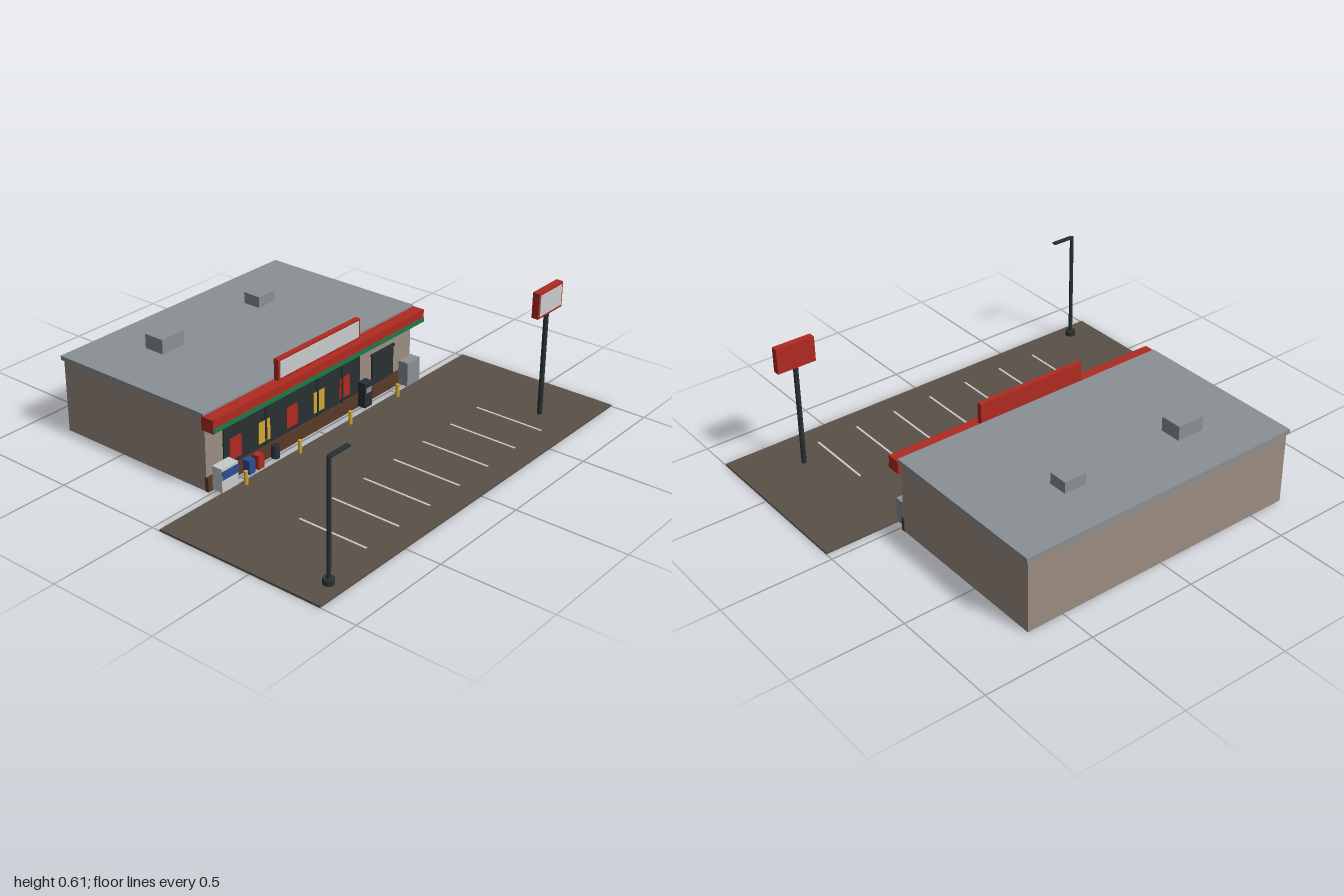
import * as THREE from 'three';

function mat(name, color) {
  const m = new THREE.MeshStandardMaterial({ color });
  m.name = name;
  return m;
}

export function createModel() {
  const root = new THREE.Group();
  root.name = 'cornerStore';

  const wall = mat('tan wall', 0x9c8d81);
  const grey = mat('roof grey', 0x8a9094);
  const red = mat('red', 0xb02a20);
  const green = mat('green', 0x1c7a45);
  const asphalt = mat('asphalt', 0x5a5048);
  const brown = mat('brown brick', 0x5a3a2a);
  const yellow = mat('yellow', 0xd2a62e);
  const dark = mat('dark glass and metal', 0x293132);
  const white = mat('off white', 0xc8cbcc);
  const blue = mat('blue', 0x2a4c98);

  // box from its min and max corners
  function box(name, m, x0, x1, y0, y1, z0, z1) {
    const mesh = new THREE.Mesh(new THREE.BoxGeometry(x1 - x0, y1 - y0, z1 - z0), m);
    mesh.position.set((x0 + x1) / 2, (y0 + y1) / 2, (z0 + z1) / 2);
    mesh.name = name;
    root.add(mesh);
    return mesh;
  }
  function post(name, m, x, z, y0, y1, r, sides = 12) {
    const mesh = new THREE.Mesh(new THREE.CylinderGeometry(r, r, y1 - y0, sides), m);
    mesh.position.set(x, (y0 + y1) / 2, z);
    mesh.name = name;
    root.add(mesh);
    return mesh;
  }

  // parking lot and bay lines
  box('parkingLot', asphalt, -1, 1, 0, 0.008, 0.04, 0.837);
  for (let i = -3; i <= 3; i++) {
    box('bayLine', white, i * 0.2 - 0.005, i * 0.2 + 0.005, 0.008, 0.01, 0.4, 0.73);
  }

  // building shell
  box('walls', wall, -0.67, 0.67, 0, 0.335, -0.828, -0.025);
  box('roofSlab', grey, -0.68, 0.68, 0.335, 0.354, -0.837, -0.02);
  box('brickBase', brown, -0.672, 0.672, 0, 0.065, -0.03, -0.013);

  // roof units
  box('roofUnitLarge', grey, -0.4, -0.27, 0.354, 0.42, -0.617, -0.517);
  box('roofUnitSmall', grey, 0.213, 0.317, 0.354, 0.406, -0.612, -0.524);

  // canopy band with its stripe
  box('canopyBand', red, -0.685, 0.685, 0.285, 0.345, -0.027, 0.036);
  box('canopyStripe', green, -0.685, 0.685, 0.287, 0.307, 0.036, 0.039);

  // roof sign
  box('roofSign', red, -0.265, 0.265, 0.345, 0.44, -0.018, 0.006);
  box('roofSignPanel', white, -0.255, 0.255, 0.356, 0.431, 0.006, 0.009);

  // shop windows, posters and mullions
  box('shopWindow', dark, -0.57, 0.3, 0.065, 0.25, -0.025, -0.019);
  for (let i = 0; i < 5; i++) {
    const x = -0.502 + i * 0.174;
    box('poster', i % 2 ? yellow : red, x - 0.035, x + 0.035, 0.085, 0.183, -0.019, -0.017);
  }
  for (const x of [-0.32, 0.012, 0.175]) {
    box('mullion', dark, x - 0.005, x + 0.005, 0.065, 0.25, -0.019, -0.014);
  }

  // door
  box('door', dark, 0.387, 0.537, 0.06, 0.207, -0.025, -0.017);
  box('doorHeader', dark, 0.38, 0.543, 0.205, 0.215, -0.025, -0.013);

  // ice chest
  box('iceChest', white, -0.65, -0.555, 0.008, 0.115, -0.01, 0.042);
  box('iceChestPanel', blue, -0.648, -0.557, 0.065, 0.103, 0.042, 0.045);

  // news boxes and litter bin
  box('newsBox', blue, -0.475, -0.44, 0.008, 0.07, -0.005, 0.03);
  box('newsBox', red, -0.42, -0.385, 0.008, 0.07, -0.005, 0.03);
  post('litterBin', dark, -0.295, 0.012, 0.008, 0.067, 0.019, 14);

  // cash machine
  box('cashMachine', dark, 0.28, 0.33, 0.008, 0.126, -0.012, 0.028);
  box('cashMachineScreen', grey, 0.287, 0.323, 0.078, 0.102, 0.028, 0.03);

  // utility cabinet
  box('utilityCabinet', grey, 0.567, 0.657, 0.008, 0.122, -0.01, 0.042);

  // bollards
  for (const x of [-0.535, -0.202, 0.131, 0.464]) {
    post('bollard', yellow, x, 0.065, 0.006, 0.068, 0.009);
  }

  // roadside sign
  post('signPole', dark, 0.73, 0.638, 0.006, 0.495, 0.011);
  box('signBox', red, 0.64, 0.822, 0.49, 0.606, 0.622, 0.654);
  box('signPanel', white, 0.65, 0.812, 0.501, 0.595, 0.654, 0.657);

  // street lamp
  post('lampBase', dark, -0.87, 0.769, 0.006, 0.032, 0.024, 14);
  post('lampPole', dark, -0.87, 0.769, 0.03, 0.537, 0.009);
  box('lampArm', dark, -0.87, -0.762, 0.53, 0.538, 0.759, 0.779);

  return root;
}
